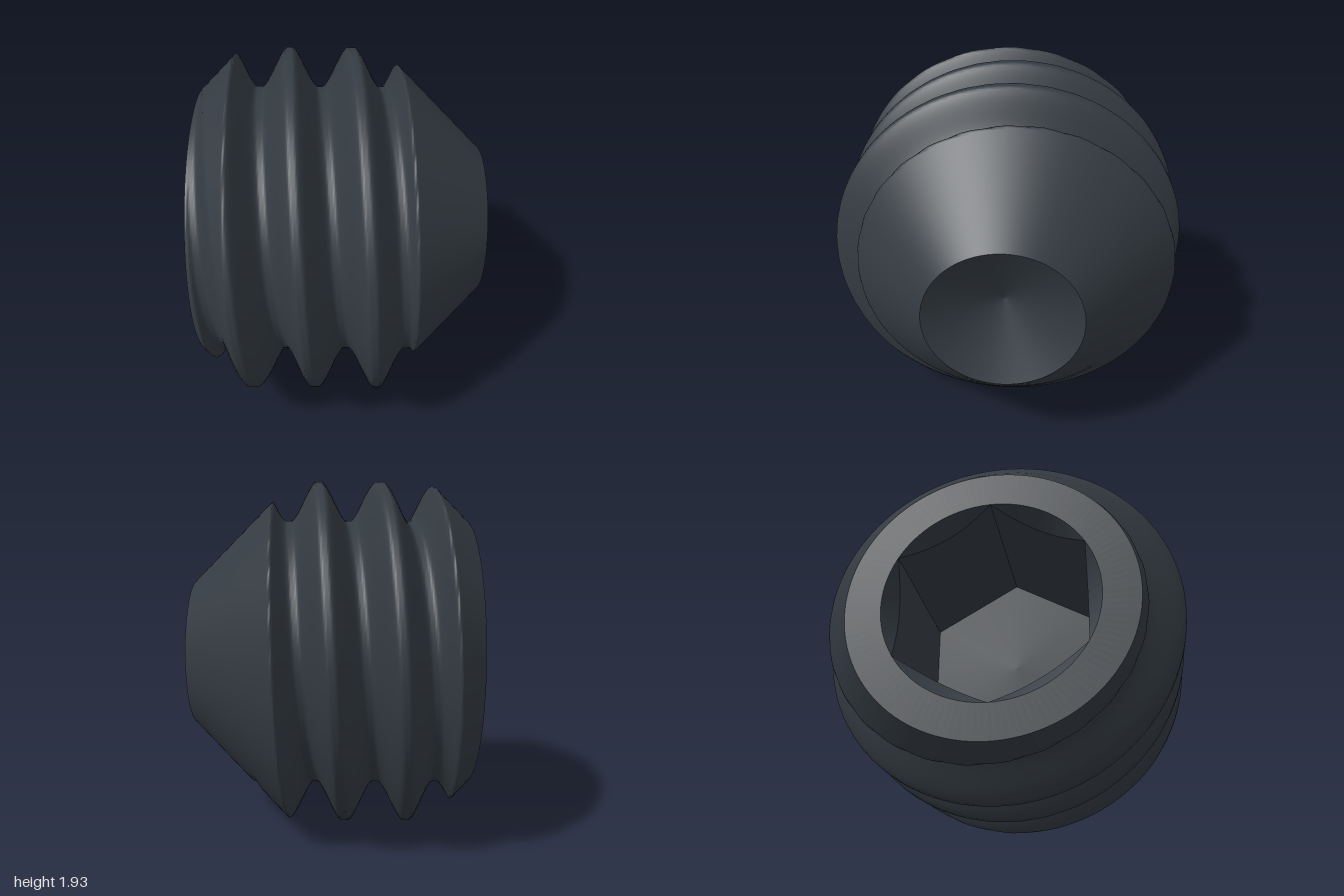
import * as THREE from 'three';
import { toCreasedNormals } from 'three/addons/utils/BufferGeometryUtils.js';

const COLS = 120;
const BACK = -0.727, TIP = 0.805;           // ends along the screw axis
const CREST = 0.965, ROOT = 0.75, PITCH = 0.338, CREST_AT_TOP = 0.106;
const FACE_R = 0.75, TIP_R = 0.41, DIMPLE = 0.21;
const HEX_R = 0.56, SOCKET_FLOOR = 0.138;

// Skins rings around the x axis; ring(i, t) returns [axial position, radius]
function loft(rows, ring) {
  const pos = [], index = [];
  for (let i = 0; i < rows; i++) {
    for (let j = 0; j < COLS; j++) {
      const t = (j / COLS) * Math.PI * 2;
      const [s, r] = ring(i, t);
      pos.push(s, r * Math.cos(t), r * Math.sin(t));
      if (i === rows - 1) continue;
      const a = i * COLS + j, b = i * COLS + (j + 1) % COLS;
      index.push(a, b, a + COLS, b, b + COLS, a + COLS);
    }
  }
  const g = new THREE.BufferGeometry();
  g.setAttribute('position', new THREE.Float32BufferAttribute(pos, 3));
  g.setIndex(index);
  g.computeVertexNormals();
  return g;
}

// Helical thread, trimmed by the 45 degree chamfers at both ends
function threadRadius(s, t) {
  const turn = (s - CREST_AT_TOP) / PITCH - t / (Math.PI * 2);
  const u = Math.abs(turn - Math.round(turn)) * PITCH;
  const h = THREE.MathUtils.clamp((u - 0.02) / 0.13, 0, 1);
  const fall = 0.5 * h + 0.5 * h * h * (3 - 2 * h);
  const r = CREST - (CREST - ROOT) * fall;
  return Math.min(r, FACE_R + s - BACK, TIP_R + TIP - s);
}

// Radius of the hexagon, with corners at top and bottom
function hexRadius(t) {
  const sector = Math.PI / 3;
  const a = (t + 1e-9) % sector - sector / 2;
  return HEX_R * Math.cos(sector / 2) / Math.cos(a);
}

export function createModel() {
  const steel = new THREE.MeshStandardMaterial({ color: 0x343b42 });
  steel.name = 'darkSteel';

  const screw = new THREE.Group();
  screw.name = 'setScrew';
  const add = (name, geometry) => {
    const mesh = new THREE.Mesh(geometry, steel);
    mesh.name = name;
    screw.add(mesh);
  };

  // Threaded body with chamfered back and conical nose
  const ROWS = 190;
  add('threadedBody', loft(ROWS, (i, t) => {
    const s = BACK + (TIP - BACK) * i / (ROWS - 1);
    return [s, threadRadius(s, t)];
  }));

  // Flat ring around the socket
  add('backFace', loft(2, (i) => [BACK, i ? FACE_R : HEX_R]));

  // Hex socket: floor, flat walls, conical lead-in
  const lip = (t) => BACK + HEX_R - hexRadius(t);
  add('socketFloor', loft(2, (i, t) => [SOCKET_FLOOR, i ? hexRadius(t) : 0]));
  add('socketWalls', toCreasedNormals(
    loft(2, (i, t) => [i ? lip(t) : SOCKET_FLOOR, hexRadius(t)]), 0.5));
  add('socketCountersink', toCreasedNormals(
    loft(2, (i, t) => i ? [BACK, HEX_R] : [lip(t), hexRadius(t)]), 0.5));

  // Cup point: conical dimple in the nose
  add('cupPoint', toCreasedNormals(
    loft(2, (i) => i ? [TIP - DIMPLE, 0] : [TIP, TIP_R]), 0.5));

  // The screw lies on its side, turned slightly towards the front
  screw.rotation.y = -0.2086;
  screw.position.set(-0.003, 0.965, 0.014);

  const model = new THREE.Group();
  model.name = 'model';
  model.add(screw);
  return model;
}
